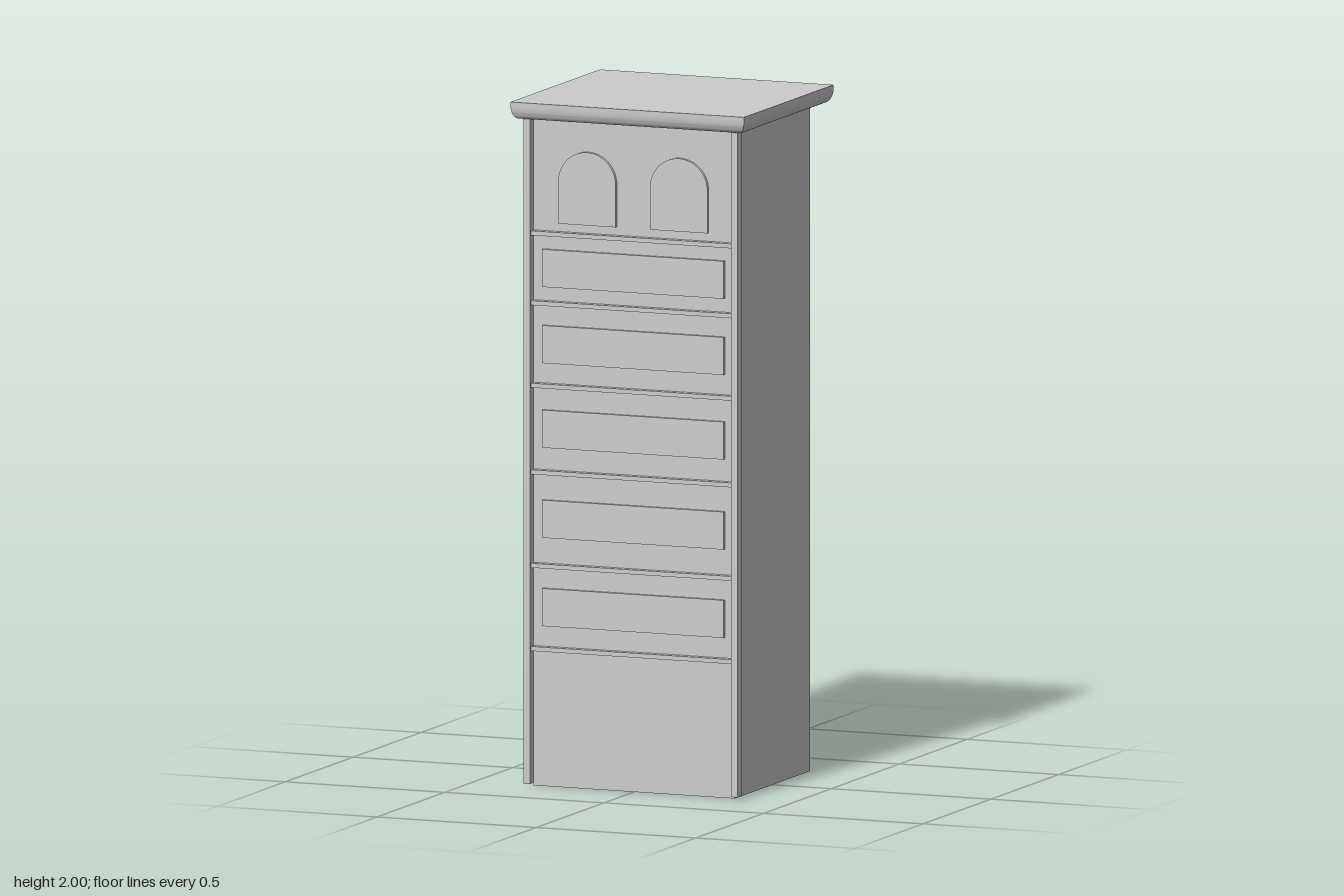
import * as THREE from 'three';
import { toCreasedNormals } from 'three/addons/utils/BufferGeometryUtils.js';

const material = new THREE.MeshStandardMaterial({ color: 0xcccccc });
const HALF_W = 0.315; // half width of the body
const FRONT = 0.279; // z of the body's front face
const BACK = -0.277;
const BODY_TOP = 1.95;

function addMesh(parent, name, geometry, x = 0, y = 0, z = 0) {
  const mesh = new THREE.Mesh(geometry, material);
  mesh.name = name;
  mesh.position.set(x, y, z);
  parent.add(mesh);
  return mesh;
}

function addBox(parent, name, w, h, d, x, y, z) {
  return addMesh(parent, name, new THREE.BoxGeometry(w, h, d), x, y, z);
}

// Rectangular moulding with mitred corners, from a profile of [inset, y] going up
function mouldingGeometry(halfW, halfD, profile) {
  const rings = profile.map(([inset, y]) => {
    const w = halfW - inset, d = halfD - inset;
    return [[-w, y, d], [w, y, d], [w, y, -d], [-w, y, -d]];
  });
  const positions = [];
  const quad = (a, b, c, d) => positions.push(...a, ...b, ...c, ...a, ...c, ...d);
  for (let i = 0; i < rings.length - 1; i++) {
    for (let s = 0; s < 4; s++) {
      const n = (s + 1) % 4;
      quad(rings[i][s], rings[i][n], rings[i + 1][n], rings[i + 1][s]);
    }
  }
  const top = rings[rings.length - 1], bottom = rings[0];
  quad(top[0], top[1], top[2], top[3]);
  quad(bottom[3], bottom[2], bottom[1], bottom[0]);
  const geometry = new THREE.BufferGeometry();
  geometry.setAttribute('position', new THREE.Float32BufferAttribute(positions, 3));
  return toCreasedNormals(geometry, 0.6);
}

// Round-headed panel standing on its origin
function archGeometry(width, height, depth) {
  const r = width / 2;
  const shape = new THREE.Shape();
  shape.moveTo(-r, 0);
  shape.lineTo(r, 0);
  shape.lineTo(r, height - r);
  shape.absarc(0, height - r, r, 0, Math.PI, false);
  shape.closePath();
  const geometry = new THREE.ExtrudeGeometry(shape, { depth, bevelEnabled: false, curveSegments: 24 });
  return toCreasedNormals(geometry, 0.6);
}

export function createModel() {
  const model = new THREE.Group();
  model.name = 'tallChest';

  addBox(model, 'body', HALF_W * 2, BODY_TOP, FRONT - BACK, 0, BODY_TOP / 2, (FRONT + BACK) / 2);

  // Slim square posts set just outside the front corners
  const postW = 0.021, postD = 0.026, postBottom = 0.008;
  for (const side of [-1, 1]) {
    addBox(model, side > 0 ? 'leftPost' : 'rightPost', postW, BODY_TOP - postBottom, postD,
      side * (HALF_W + postW / 2), (BODY_TOP + postBottom) / 2, FRONT + postD / 2);
  }

  // Rails dividing the front, with a raised drawer panel between each pair
  const rails = new THREE.Group();
  rails.name = 'rails';
  const drawers = new THREE.Group();
  drawers.name = 'drawerPanels';
  model.add(rails, drawers);
  const railHeights = [0.402, 0.645, 0.918, 1.171, 1.412, 1.616];
  const railD = 0.02, panelD = 0.01;
  railHeights.forEach((y, i) => {
    addBox(rails, 'rail', HALF_W * 2, 0.013, railD, 0, y, FRONT + railD / 2);
    if (i > 0) {
      addBox(drawers, 'drawerPanel', 0.57, 0.11, panelD, 0, (y + railHeights[i - 1]) / 2, FRONT + panelD / 2);
    }
  });

  // Pair of arched panels at the top
  const arch = archGeometry(0.18, 0.213, panelD);
  for (const side of [-1, 1]) {
    addMesh(model, side > 0 ? 'leftArchPanel' : 'rightArchPanel', arch, side * 0.144, 1.647, FRONT);
  }

  // Cornice with a rounded underside
  const profile = [];
  for (let i = 0; i <= 8; i++) {
    const a = (i / 8) * Math.PI / 2;
    profile.push([0.02 * (1 - Math.sin(a)), 1.988 - 0.038 * Math.cos(a)]);
  }
  profile.push([0, 2]);
  addMesh(model, 'cornice', mouldingGeometry(0.366, 0.33, profile));

  return model;
}
